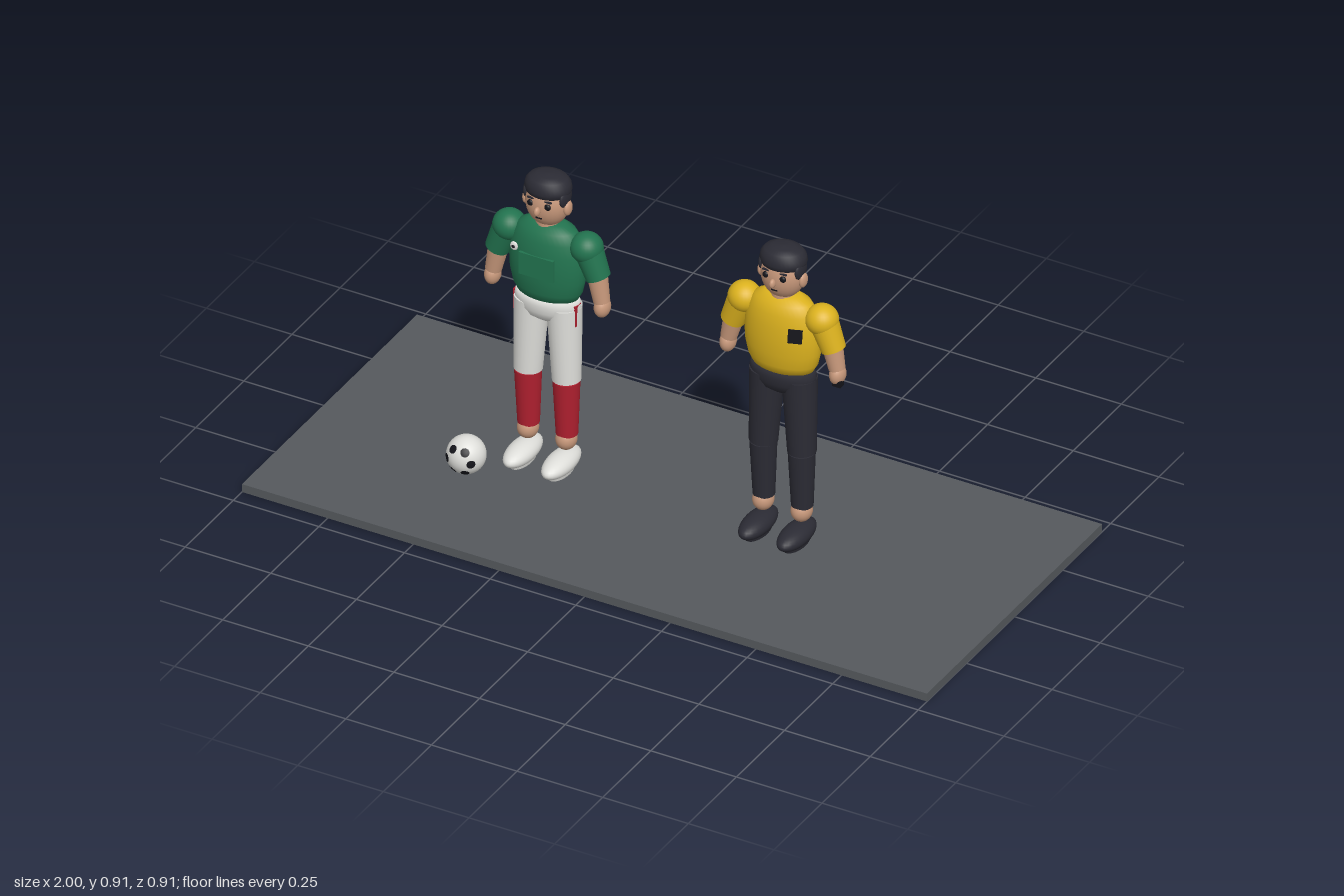
import * as THREE from 'three';

const mat = (name, color) => Object.assign(new THREE.MeshStandardMaterial({ color }), { name });
const M = {
  slab: mat('slate grey', 0x55595d), skin: mat('skin', 0xc6977a), dark: mat('charcoal', 0x2b2b34),
  black: mat('black', 0x14141a), green: mat('green', 0x22734f), yellow: mat('yellow', 0xdcb21e),
  white: mat('off white', 0xdededa), red: mat('red', 0xb0202f),
};

const V = (x, y, z) => new THREE.Vector3(x, y, z);

function add(parent, name, geometry, material, x = 0, y = 0, z = 0) {
  const m = new THREE.Mesh(geometry, material);
  m.name = name;
  m.position.set(x, y, z);
  parent.add(m);
  return m;
}

// Ellipsoid from its three half-sizes
const blob = (rx, ry, rz) => new THREE.SphereGeometry(1, 28, 18).scale(rx, ry, rz);
const box = (x, y, z) => new THREE.BoxGeometry(x, y, z);

// Turned body squashed front to back
function turned(points, depth) {
  const curve = points.map(([r, y]) => new THREE.Vector2(r, y));
  return new THREE.LatheGeometry(curve, 36).scale(1, 1, depth);
}

// Tapered limb from a to b
function limb(parent, name, a, b, ra, rb, material) {
  const d = b.clone().sub(a);
  const m = add(parent, name, new THREE.CylinderGeometry(rb, ra, d.length(), 24), material);
  m.position.copy(a).addScaledVector(d, 0.5);
  m.quaternion.setFromUnitVectors(V(0, 1, 0), d.normalize());
  return m;
}

function head(parent) {
  const g = new THREE.Group();
  g.name = 'head';
  parent.add(g);
  add(g, 'neck', new THREE.CylinderGeometry(0.032, 0.034, 0.05, 24), M.skin, 0, 0.775, 0);
  add(g, 'skull', blob(0.06, 0.07, 0.053), M.skin, 0, 0.833, 0);
  // Rounded cap of hair
  add(g, 'hair', turned([[0, 0.856], [0.05, 0.856], [0.06, 0.862], [0.064, 0.875],
    [0.061, 0.891], [0.051, 0.903], [0.03, 0.911], [0, 0.913]], 0.84), M.dark, 0, 0, -0.002);
  add(g, 'nose', blob(0.008, 0.013, 0.011), M.skin, 0, 0.828, 0.057);
  add(g, 'mouth', box(0.018, 0.004, 0.006), M.black, 0, 0.804, 0.046);
  for (const s of [-1, 1]) {
    add(g, 'sideburn', blob(0.01, 0.028, 0.028), M.dark, s * 0.053, 0.858, 0.003);
    add(g, 'ear', blob(0.01, 0.021, 0.017), M.skin, s * 0.06, 0.828, 0.003);
    add(g, 'eye', blob(0.009, 0.009, 0.006), M.black, s * 0.025, 0.843, 0.047);
    add(g, 'eyebrow', box(0.02, 0.004, 0.005), M.dark, s * 0.025, 0.857, 0.045);
  }
}

function arm(parent, s, shirt, drop) {
  const g = new THREE.Group();
  g.name = s > 0 ? 'leftArm' : 'rightArm';
  parent.add(g);
  const elbow = V(s * 0.147, 0.645, 0), wrist = V(s * 0.158, 0.59 - drop, 0.002);
  add(g, 'shoulder', blob(0.044, 0.042, 0.044), shirt, s * 0.113, 0.724, 0);
  limb(g, 'sleeve', V(s * 0.117, 0.722, 0), elbow, 0.039, 0.033, shirt);
  limb(g, 'forearm', V(s * 0.142, 0.66, 0), wrist, 0.028, 0.022, M.skin);
  add(g, 'hand', blob(0.021, 0.029, 0.027), M.skin, s * 0.16, 0.574 - drop, 0.002);
}

function leg(parent, s, trousers, sock, shoe) {
  const g = new THREE.Group();
  g.name = s > 0 ? 'leftLeg' : 'rightLeg';
  parent.add(g);
  const x = s * 0.056;
  limb(g, 'thigh', V(s * 0.047, 0.53, -0.001), V(x, 0.31, 0.003), 0.047, 0.038, trousers);
  limb(g, 'shin', V(x, 0.308, 0.004), V(x, 0.145, 0.001), 0.036, 0.029, sock);
  add(g, 'ankle', blob(0.028, 0.031, 0.031), M.skin, x, 0.13, 0.004);
  add(g, 'shoe', blob(0.037, 0.028, 0.082), shoe, x, 0.072, 0.031);
  add(g, 'sole', new THREE.CylinderGeometry(1, 0.9, 0.014, 32).scale(0.029, 1, 0.06), shoe, x, 0.051, 0.031);
}

function person(name, x, { shirt, trousers, sock, shoe, drop }) {
  const g = new THREE.Group();
  g.name = name;
  g.position.x = x;
  add(g, 'shirt', turned([[0, 0.55], [0.084, 0.552], [0.098, 0.578], [0.106, 0.615], [0.108, 0.655],
    [0.105, 0.695], [0.096, 0.73], [0.079, 0.757], [0.05, 0.773], [0, 0.777]], 0.58), shirt);
  add(g, 'hips', turned([[0, 0.475], [0.045, 0.481], [0.078, 0.497], [0.092, 0.517],
    [0.094, 0.538], [0.088, 0.556], [0, 0.558]], 0.56), trousers);
  head(g);
  for (const s of [-1, 1]) {
    arm(g, s, shirt, drop);
    leg(g, s, trousers, sock, shoe);
  }
  return g;
}

function ball() {
  const g = new THREE.Group();
  g.name = 'ball';
  g.position.set(-0.532, 0.076, 0.122);
  const r = 0.052;
  add(g, 'ballBody', new THREE.SphereGeometry(r, 32, 20), M.white);
  // Ring of dark patches facing forward
  for (let i = 0; i < 6; i++) {
    const a = i * Math.PI / 3, t = 0.74;
    const n = V(Math.sin(t) * Math.cos(a), Math.sin(t) * Math.sin(a), Math.cos(t));
    const cap = new THREE.SphereGeometry(r + 0.001, 10, 3, 0, Math.PI * 2, 0, 0.23);
    add(g, 'ballPatch', cap, M.black).quaternion.setFromUnitVectors(V(0, 1, 0), n);
  }
  return g;
}

export function createModel() {
  const model = new THREE.Group();
  model.name = 'footballScene';
  add(model, 'ground', box(2, 0.024, 0.91), M.slab, 0, 0.012, 0);

  // Player with chest panel, badge and hip stripes
  const player = person('player', -0.362,
    { shirt: M.green, trousers: M.white, sock: M.red, shoe: M.white, drop: 0.014 });
  add(player, 'chestPanel', box(0.1, 0.065, 0.008), M.green, 0, 0.662, 0.06);
  add(player, 'badge', blob(0.011, 0.013, 0.005), M.white, -0.07, 0.7, 0.052);
  add(player, 'badgeMark', blob(0.005, 0.005, 0.003), M.black, -0.07, 0.7, 0.056);
  for (const s of [-1, 1]) add(player, 'hipStripe', box(0.014, 0.06, 0.026), M.red, s * 0.085, 0.515, 0.006);

  // Referee with chest pocket and wrist piece
  const referee = person('referee', 0.325,
    { shirt: M.yellow, trousers: M.dark, sock: M.dark, shoe: M.dark, drop: 0 });
  const pocket = add(referee, 'chestPocket', box(0.037, 0.036, 0.009), M.black, 0.064, 0.685, 0.053);
  pocket.rotation.set(-0.12, 0.4, 0);
  add(referee, 'whistle', box(0.024, 0.018, 0.02), M.black, 0.166, 0.556, 0.012);

  model.add(player, referee, ball());
  return model;
}
